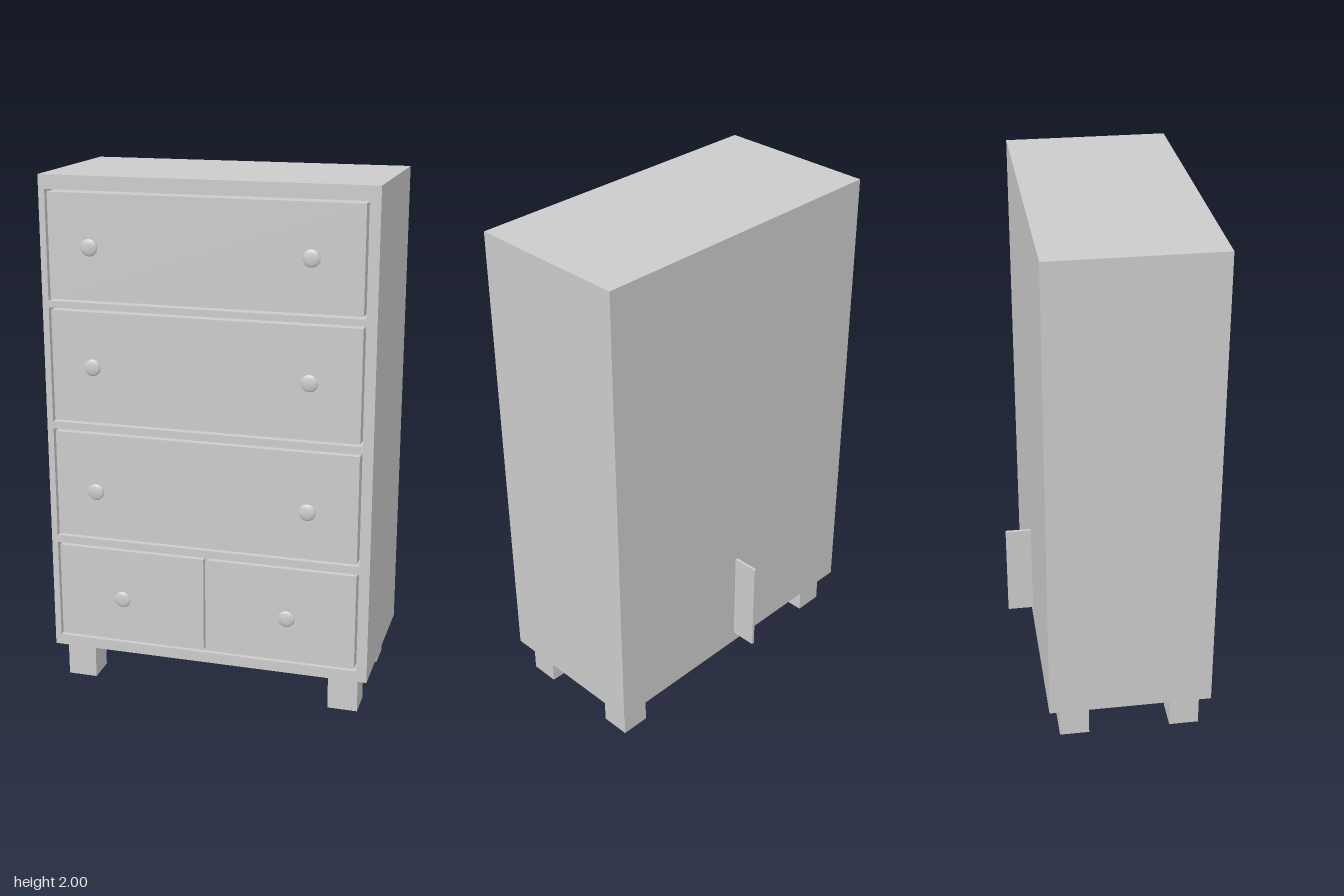
import * as THREE from 'three';

export function createModel() {
  const model = new THREE.Group();
  const mat = new THREE.MeshStandardMaterial({ color: 0xcccccc });
  const add = (name, geo, x = 0, y = 0, z = 0) => {
    const mesh = new THREE.Mesh(geo, mat);
    mesh.name = name;
    mesh.position.set(x, y, z);
    model.add(mesh);
    return mesh;
  };
  // Box given by its low and high corner
  const block = (name, [x0, y0, z0], [x1, y1, z1]) =>
    add(name, new THREE.BoxGeometry(x1 - x0, y1 - y0, z1 - z0),
      (x0 + x1) / 2, (y0 + y1) / 2, (z0 + z1) / 2);
  const trace = (path, x0, y0, x1, y1) => {
    path.moveTo(x0, y0).lineTo(x1, y0).lineTo(x1, y1).lineTo(x0, y1).closePath();
    return path;
  };

  const L = -0.627, R = 0.627, bottom = 0.145, top = 2, back = -0.278, front = 0.352;
  const inL = -0.603, inR = 0.587, gap = 0.009;
  // Drawer openings, [low, high, knob height]
  const rows = [[1.537, 1.947, 1.745], [1.072, 1.512, 1.298], [0.61, 1.043, 0.81], [0.187, 0.58, 0.377]];

  // Cabinet carcass with an opening for each row
  const shape = trace(new THREE.Shape(), L, bottom, R, top);
  for (const [y0, y1] of rows) shape.holes.push(trace(new THREE.Path(), inL, y0, inR, y1));
  const depth = front - back - 0.02;
  add('carcass', new THREE.ExtrudeGeometry(shape, { depth, bevelEnabled: false }), 0, 0, back + 0.02);
  block('backPanel', [L, bottom, back], [R, top, back + 0.02]);

  // Knob: short stem and flattened round head
  const stem = new THREE.CylinderGeometry(0.011, 0.011, 0.02, 20).rotateX(Math.PI / 2);
  const head = new THREE.SphereGeometry(0.032, 32, 16).rotateX(Math.PI / 2).scale(1, 1, 0.3);
  const knob = (x, y) => {
    add('knobStem', stem, x, y, front + 0.008);
    add('knobHead', head, x, y, 0.37);
  };

  // Drawers, set flush with a narrow gap around each
  rows.forEach(([y0, y1, ky], i) => {
    const spans = i < 3 ? [[inL + gap, inR - gap]] : [[inL + gap, -0.011], [0.005, inR - gap]];
    for (const [x0, x1] of spans)
      block('drawer', [x0, y0 + gap, back + 0.03], [x1, y1 - gap, front]);
    for (const x of i < 3 ? [-0.43, 0.392] : [-0.333, 0.319]) knob(x, ky);
  });

  // Divider between the two bottom drawers, reaching out through the back
  block('divider', [-0.007, 0.19, -0.38], [0.004, 0.575, front - 0.01]);

  // Legs
  for (const x of [-0.59, 0.472])
    for (const z of [-0.235, 0.198])
      block('leg', [x, 0, z], [x + 0.115, bottom, z + 0.115]);

  return model;
}
